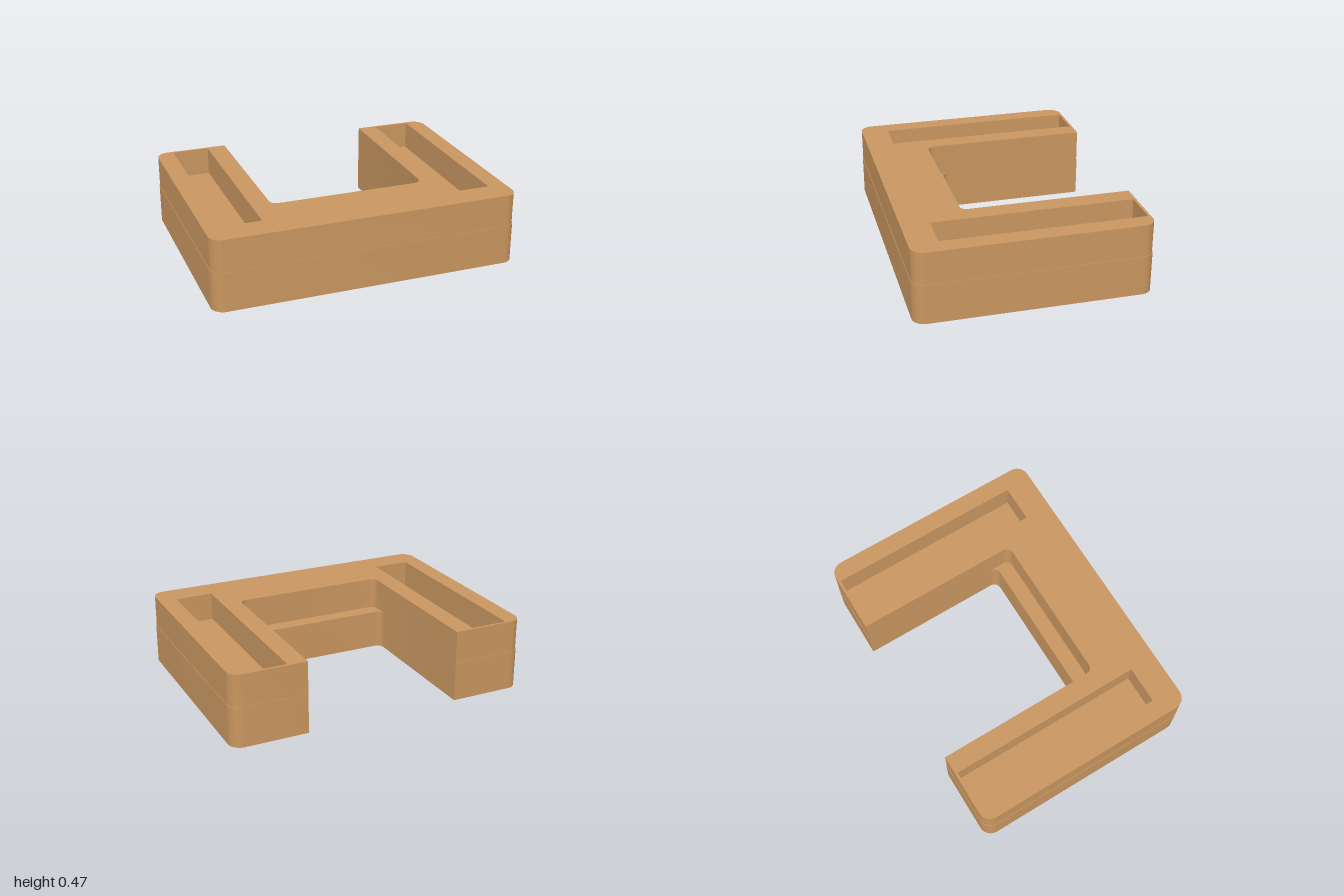
import * as THREE from 'three';
import { toCreasedNormals } from 'three/addons/utils/BufferGeometryUtils.js';

const INNER = 0.51; // half width of the opening between the legs

// U-shaped outline in plan, shape y running along z
function outline(w, d, innerZ, R = 0.08, r = 0.05) {
  const s = new THREE.Shape();
  const P = Math.PI;
  s.moveTo(-w, -d + R);
  s.absarc(-w + R, -d + R, R, P, 1.5 * P, false);
  s.lineTo(-INNER, -d);
  s.absarc(-INNER + r, innerZ - r, r, P, P / 2, true);
  s.absarc(INNER - r, innerZ - r, r, P / 2, 0, true);
  s.lineTo(INNER, -d);
  s.absarc(w - R, -d + R, R, -P / 2, 0, false);
  s.absarc(w - R, d - R, R, 0, P / 2, false);
  s.absarc(-w + R, d - R, R, P / 2, P, false);
  s.closePath();
  return s;
}

// Upright slab between two heights
function slab(shape, y0, y1) {
  const g = new THREE.ExtrudeGeometry(shape, { depth: y1 - y0, bevelEnabled: false, curveSegments: 12 });
  g.rotateX(Math.PI / 2).translate(0, y1, 0);
  return toCreasedNormals(g, 0.6);
}

export function createModel() {
  const model = new THREE.Group();
  const tan = new THREE.MeshStandardMaterial({ color: 0xc89660 });
  tan.name = 'tan';
  const add = (name, geometry, x = 0, z = 0) => {
    const m = new THREE.Mesh(geometry, tan);
    m.name = name;
    m.position.set(x, 0, z);
    model.add(m);
  };

  // Round socket positions: three along each leg, two between them at the front
  const sockets = [[-0.255, 0.51], [0.255, 0.51]];
  for (const x of [-0.765, 0.765]) for (const z of [-0.51, 0, 0.51]) sockets.push([x, z]);

  // Lower base with socket openings
  const base = outline(1, 0.748, 0.25);
  for (const [x, z] of sockets) {
    base.holes.push(new THREE.Path().absarc(x, z, 0.155, 0, Math.PI * 2, true));
  }
  add('base', slab(base, 0, 0.26));

  // Chamfered socket linings, facing inward
  const profile = [[0, 0.2], [0.13, 0.2], [0.13, 0.025], [0.155, 0]].map(p => new THREE.Vector2(...p));
  const lining = toCreasedNormals(new THREE.LatheGeometry(profile, 32), 0.5);
  for (const [x, z] of sockets) add('socket', lining, x, z);

  // Upper tray: thin floor, then walls with a long slot in each leg
  add('trayFloor', slab(outline(0.997, 0.745, 0.35), 0.26, 0.285));
  const walls = outline(0.997, 0.745, 0.35);
  for (const s of [-1, 1]) {
    const corners = [[0.635, -0.728], [0.88, -0.728], [0.88, 0.565], [0.635, 0.565]];
    walls.holes.push(new THREE.Path(corners.map(([x, z]) => new THREE.Vector2(s * x, z))).closePath());
  }
  add('trayWalls', slab(walls, 0.285, 0.47));

  return model;
}
